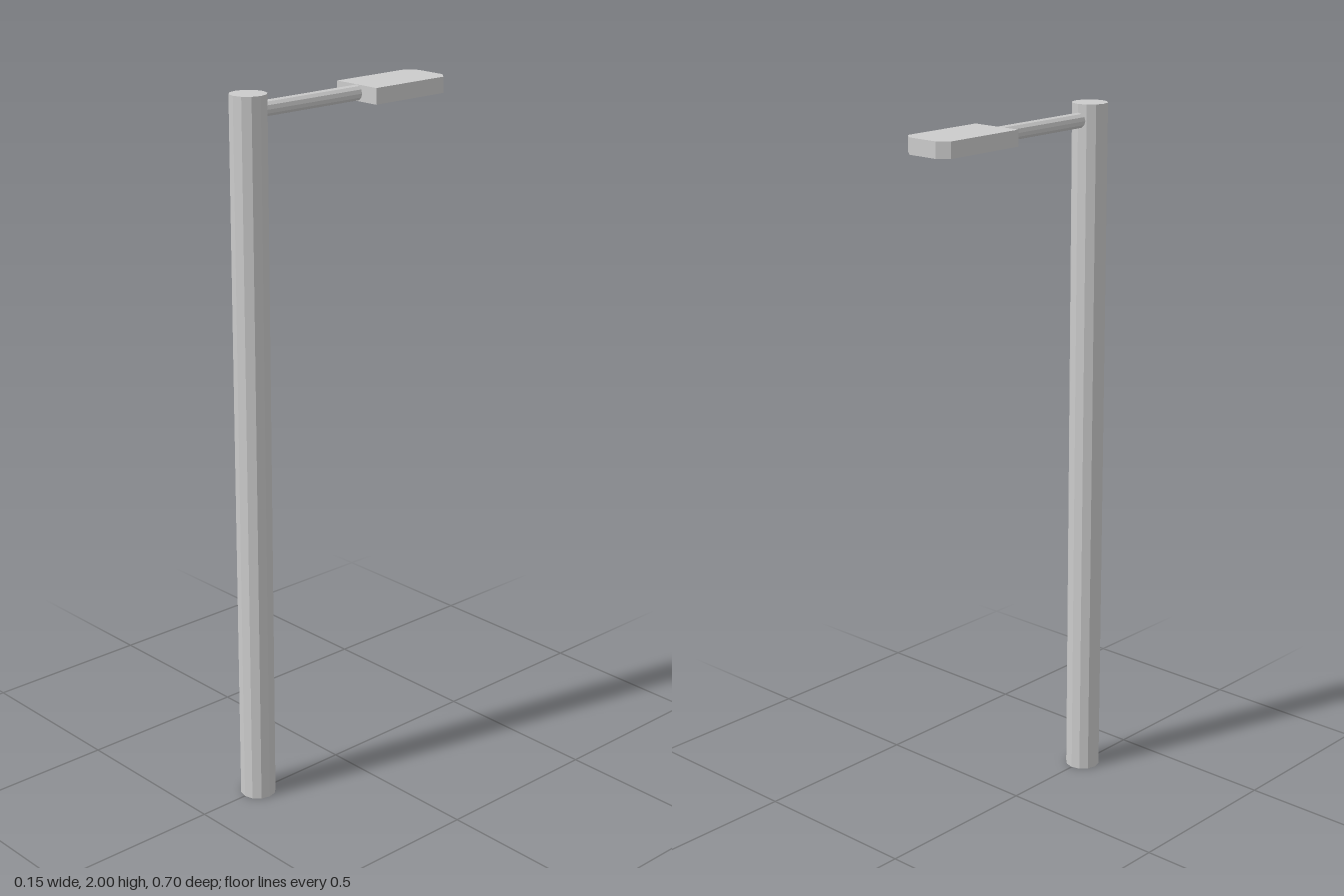
import * as THREE from 'three';

export function createModel() {
  const group = new THREE.Group();
  const material = new THREE.MeshStandardMaterial({ color: 0xcccccc, flatShading: true });
  const add = (name, geometry, x, y, z) => {
    const mesh = new THREE.Mesh(geometry, material);
    mesh.name = name;
    mesh.position.set(x, y, z);
    group.add(mesh);
  };
  const poleZ = 0.301, armY = 1.955, thickness = 0.044;
  const headFront = -0.075, headBack = -0.351;

  // Upright twelve-sided pole
  add('pole', new THREE.CylinderGeometry(0.05, 0.05, 2, 12), 0, 1, poleZ);

  // Horizontal arm, from inside the pole to just inside the lamp head
  const armStart = 0.28, armEnd = headFront - 0.005;
  const arm = new THREE.CylinderGeometry(0.0215, 0.0215, armStart - armEnd, 12).rotateX(Math.PI / 2);
  add('arm', arm, 0, armY, (armStart + armEnd) / 2);

  // Flat lamp head with two cut corners; the outline is drawn with y = -z
  const outline = new THREE.Shape([
    [-0.076, -headFront], [0.076, -headFront], [0.076, 0.326],
    [0.046, -headBack], [-0.046, -headBack], [-0.076, 0.326],
  ].map(([x, y]) => new THREE.Vector2(x, y)));
  const head = new THREE.ExtrudeGeometry(outline, { depth: thickness, bevelEnabled: false });
  head.rotateX(-Math.PI / 2);
  add('lampHead', head, 0, armY - thickness / 2, 0);

  return group;
}
